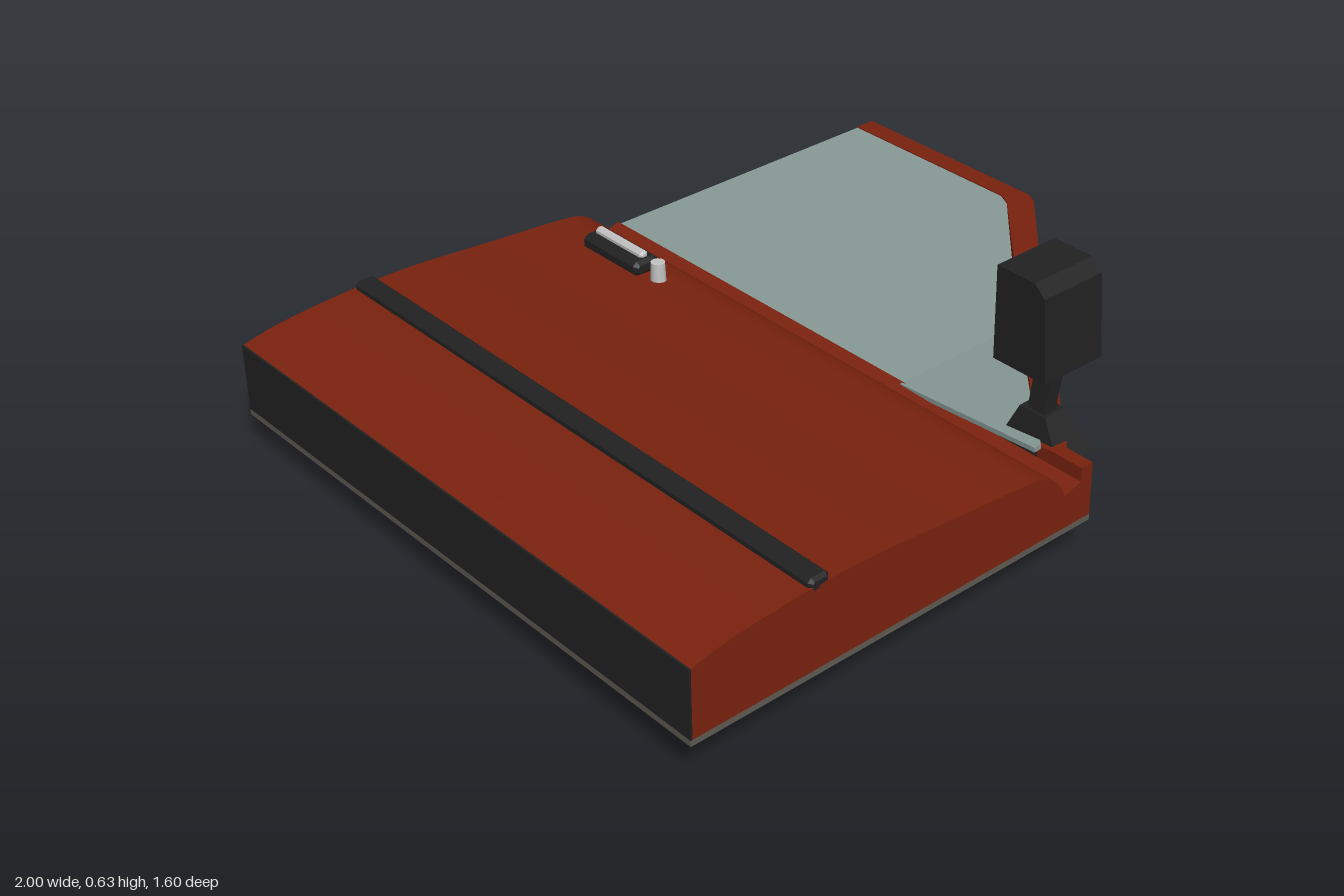
import * as THREE from 'three';
import { toCreasedNormals } from 'three/addons/utils/BufferGeometryUtils.js';

const material = (name, color, side = THREE.FrontSide) => {
  const m = new THREE.MeshStandardMaterial({ color, side });
  m.name = name;
  return m;
};

export function createModel() {
  const red = material('red paint', 0x7a220e);
  const black = material('black plastic', 0x222222);
  const trim = material('grey lining', 0x5f5b54);
  const glass = material('window glass', 0x889a96, THREE.DoubleSide);
  const silver = material('silver', 0xc4c4c4);

  const root = new THREE.Group();
  root.name = 'vehicleDoor';

  const add = (name, geo, mat, x = 0, y = 0, z = 0, parent = root) => {
    const mesh = new THREE.Mesh(geo, mat);
    mesh.name = name;
    mesh.position.set(x, y, z);
    parent.add(mesh);
    return mesh;
  };
  const box = (name, mat, x0, x1, y0, y1, z0, z1, parent = root) =>
    add(name, new THREE.BoxGeometry(x1 - x0, y1 - y0, z1 - z0), mat,
      (x0 + x1) / 2, (y0 + y1) / 2, (z0 + z1) / 2, parent);
  const shapeOf = (pts) => new THREE.Shape(pts.map(([a, b]) => new THREE.Vector2(a, b)));

  // Slab from a plan outline in x and z; the top may follow a rule
  const slab = (pts, y0, y1, rule) => {
    const geo = new THREE.ExtrudeGeometry(shapeOf(pts.map(([x, z]) => [x, -z])),
      { depth: y1 - y0, bevelEnabled: false });
    geo.rotateX(-Math.PI / 2).translate(0, y0, 0);
    if (rule) {
      const p = geo.attributes.position;
      for (let i = 0; i < p.count; i++) p.setY(i, rule(p.getY(i), p.getZ(i)));
      geo.computeVertexNormals();
    }
    return geo;
  };
  const rise = (z) => 0.04 * THREE.MathUtils.clamp((z - 0.25) / 0.45, 0, 1);

  // Bar along z with chamfered edges and ends
  const bar = (w, h, len, c) => {
    const a = w / 2 - c, b = h / 2 - c, d = c * 0.5;
    const s = shapeOf([[-a, -b + d], [-a + d, -b], [a - d, -b], [a, -b + d],
      [a, b - d], [a - d, b], [-a + d, b], [-a, b - d]]);
    const g = new THREE.ExtrudeGeometry(s, { depth: len - 2 * c, bevelSize: c, bevelThickness: c, bevelSegments: 1 });
    return g.translate(0, 0, -len / 2 + c);
  };

  // Curved door skin
  const skin = new THREE.Shape();
  skin.moveTo(0.1, 0.105);
  skin.lineTo(0.1, 0.205);
  skin.lineTo(0.05, 0.19);
  skin.splineThru([[0.035, 0.22], [0.01, 0.248], [-0.03, 0.267], [-0.1, 0.277], [-0.3, 0.292],
    [-0.5, 0.308], [-0.65, 0.311], [-0.8, 0.305], [-0.92, 0.293], [-0.995, 0.277]]
    .map(([x, y]) => new THREE.Vector2(x, y)));
  skin.lineTo(-0.995, 0.105);
  const skinGeo = new THREE.ExtrudeGeometry(skin, { depth: 1.6, bevelEnabled: false, curveSegments: 30 });
  add('doorSkin', toCreasedNormals(skinGeo, 0.5), red, 0, 0, -0.8);
  box('lowerEdge', black, -1, -0.995, 0.105, 0.277, -0.8, 0.8);
  box('innerLining', trim, -1, 0.1, 0.09, 0.105, -0.8, 0.8);

  // Front corner block and window frame
  box('cornerBlock', red, 0.1, 0.135, 0.105, 0.24, 0.7, 0.8);
  box('cornerLining', trim, 0.1, 0.135, 0.09, 0.105, 0.7, 0.8);
  const frame = [[1, -0.8], [1, -0.2], [0.985, -0.17], [0.58, 0.25], [0.14, 0.72], [0.1, 0.74],
    [0.1, 0.67], [0.485, 0.25], [0.925, -0.21], [0.945, -0.25], [0.945, -0.8]].reverse();
  add('windowFrame', slab(frame, 0.105, 0.2, (y, z) => (y > 0.15 ? y + rise(z) : y)), red);
  add('frameLining', slab(frame, 0.09, 0.105), trim);

  // Window pane, bent at the height where the frame begins to climb
  const pane = (y, z) => y + rise(z);
  add('windowRear', slab([[0.09, -0.8], [0.95, -0.8], [0.95, -0.25], [0.93, -0.21], [0.49, 0.25], [0.09, 0.25]],
    0.189, 0.197, pane), glass);
  add('windowFront', slab([[0.09, 0.25], [0.49, 0.25], [0.1, 0.68], [0.08, 0.68]], 0.192, 0.204, pane), glass);

  // Rubbing strip along the skin
  add('rubbingStrip', bar(0.055, 0.036, 1.6, 0.008), black, -0.6625, 0.312, 0);

  // Outer handle and lock
  add('handlePlate', bar(0.075, 0.04, 0.21, 0.01), black, -0.094, 0.295, -0.542);
  add('handleGrip', bar(0.024, 0.03, 0.18, 0.006), silver, -0.09, 0.314, -0.542);
  add('lock', new THREE.CylinderGeometry(0.018, 0.02, 0.05, 10), silver, -0.093, 0.3, -0.398);

  // Mirror: foot, stalk, housing and reflecting face
  const mirror = new THREE.Group();
  mirror.name = 'wingMirror';
  root.add(mirror);
  const loft = (b, t) => { // four-sided block between two rectangles [x0, x1, z0, z1, y]
    const geo = new THREE.BoxGeometry(1, 1, 1), p = geo.attributes.position;
    for (let i = 0; i < p.count; i++) {
      const r = p.getY(i) > 0 ? t : b;
      p.setXYZ(i, p.getX(i) > 0 ? r[1] : r[0], r[4], p.getZ(i) > 0 ? r[3] : r[2]);
    }
    geo.computeVertexNormals();
    return geo;
  };
  add('mirrorFoot', loft([0.105, 0.225, 0.55, 0.73, 0.2], [0.125, 0.19, 0.59, 0.665, 0.292]), black, 0, 0, 0, mirror);
  add('mirrorStalk', loft([0.132, 0.168, 0.605, 0.655, 0.28], [0.145, 0.182, 0.612, 0.662, 0.4]), black, 0, 0, 0, mirror);
  const side = shapeOf([[-0.527, 0.395], [-0.527, 0.628], [-0.637, 0.628], [-0.667, 0.6], [-0.682, 0.395]].reverse());
  const housing = new THREE.ExtrudeGeometry(side, { depth: 0.18, bevelEnabled: false });
  add('mirrorHousing', housing.rotateY(Math.PI / 2), black, 0.1, 0, 0, mirror);
  box('mirrorFace', silver, 0.108, 0.272, 0.405, 0.618, 0.52, 0.528, mirror);

  // Inside fittings: pocket, armrest, speaker, switch and release lever
  add('doorPocket', bar(0.19, 0.075, 0.9, 0.014), trim, -0.815, 0.057, -0.115);
  add('armrest', bar(0.07, 0.09, 0.715, 0.022), black, -0.462, 0.045, -0.283);
  add('speaker', new THREE.CylinderGeometry(0.125, 0.125, 0.012, 32), black, -0.81, 0.085, 0.525);
  box('switchPlate', black, -0.35, -0.245, 0.08, 0.091, 0.36, 0.46);
  box('switchButton', silver, -0.325, -0.27, 0.075, 0.081, 0.375, 0.445);
  add('leverPlate', new THREE.CylinderGeometry(0.06, 0.06, 0.02, 16), trim, -0.325, 0.08, -0.14);
  box('leverArm', trim, -0.36, -0.325, 0.055, 0.072, -0.255, -0.12);
  add('leverKnob', new THREE.CylinderGeometry(0.017, 0.017, 0.05, 8), black, -0.342, 0.038, -0.24);

  return root;
}
